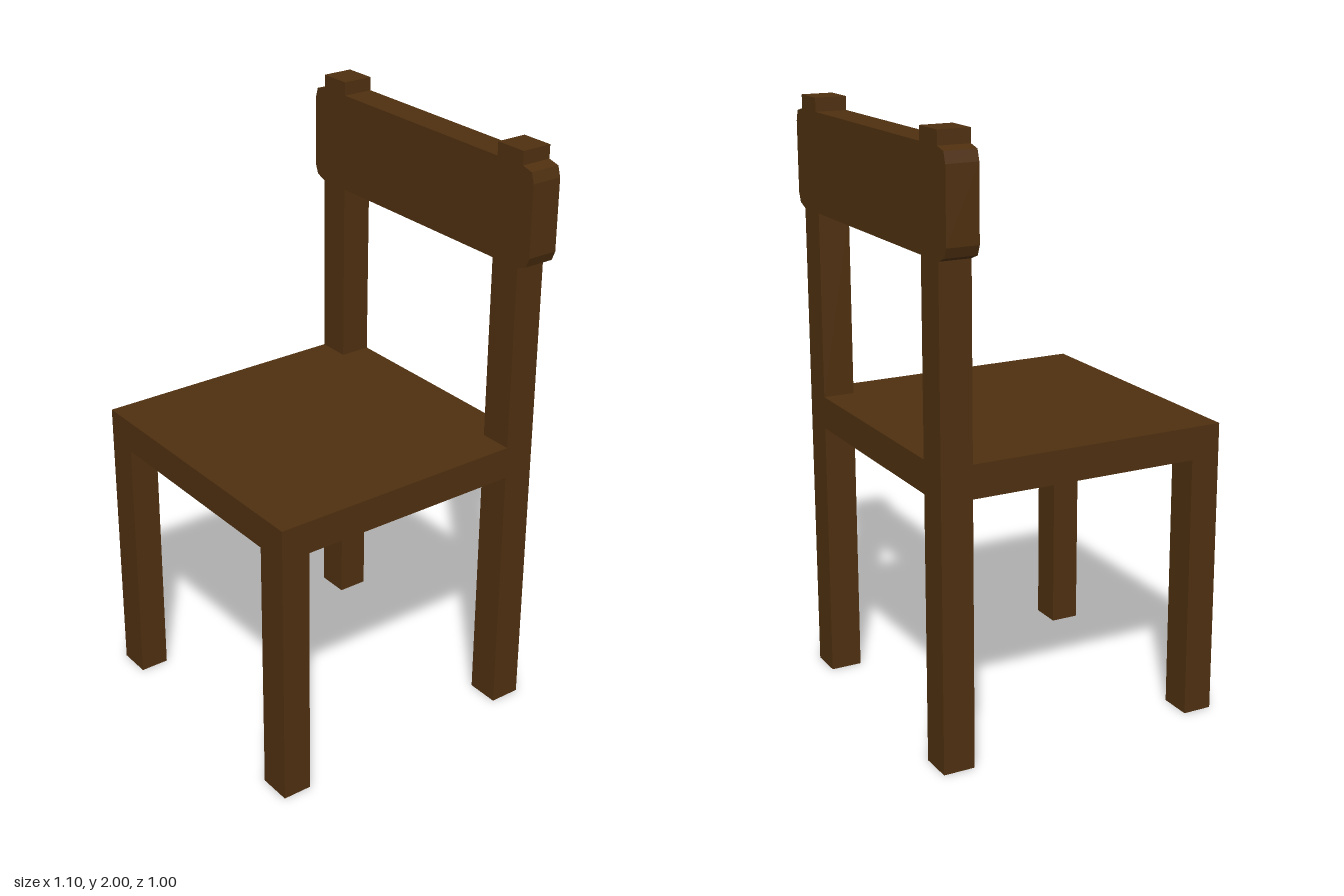
import * as THREE from 'three';

export function createModel() {
  const chair = new THREE.Group();
  chair.name = 'chair';
  const wood = new THREE.MeshStandardMaterial({ color: 0x4f3010, flatShading: true });

  // Box given by its extents along each axis
  function box(name, [x0, x1], [y0, y1], [z0, z1]) {
    const mesh = new THREE.Mesh(new THREE.BoxGeometry(x1 - x0, y1 - y0, z1 - z0), wood);
    mesh.position.set((x0 + x1) / 2, (y0 + y1) / 2, (z0 + z1) / 2);
    mesh.name = name;
    chair.add(mesh);
  }

  const half = 0.497, inner = 0.383;
  const seatBottom = 0.89, seatTop = 1;
  const railBottom = 1.625, railTop = 1.955;
  const front = [0.4, 0.5], back = [-0.497, -0.39];

  box('seat', [-half, half], [seatBottom, seatTop], [back[0], front[1]]);

  // Legs and back posts, mirrored left and right
  for (const [side, x] of [['left', [inner, half]], ['right', [-half, -inner]]]) {
    box(side + 'FrontLeg', x, [0, seatBottom], front);
    box(side + 'BackLeg', x, [0, seatBottom], back);
    box(side + 'BackPost', x, [seatTop, railBottom], back);
    box(side + 'PostTip', x, [railTop, 2], back);
  }

  // Backrest board with faceted rounded corners
  const rightEdge = [
    [0.497, railBottom], [0.535, 1.64], [0.548, 1.672],
    [0.548, 1.91], [0.537, 1.945], [0.497, railTop],
  ];
  const leftEdge = rightEdge.map(([x, y]) => [-x, y]).reverse();
  const outline = new THREE.Shape([...rightEdge, ...leftEdge].map(([x, y]) => new THREE.Vector2(x, y)));
  const board = new THREE.ExtrudeGeometry(outline, { depth: back[1] - back[0], bevelEnabled: false });
  const backrest = new THREE.Mesh(board, wood);
  backrest.position.z = back[0];
  backrest.name = 'backrest';
  chair.add(backrest);

  return chair;
}
